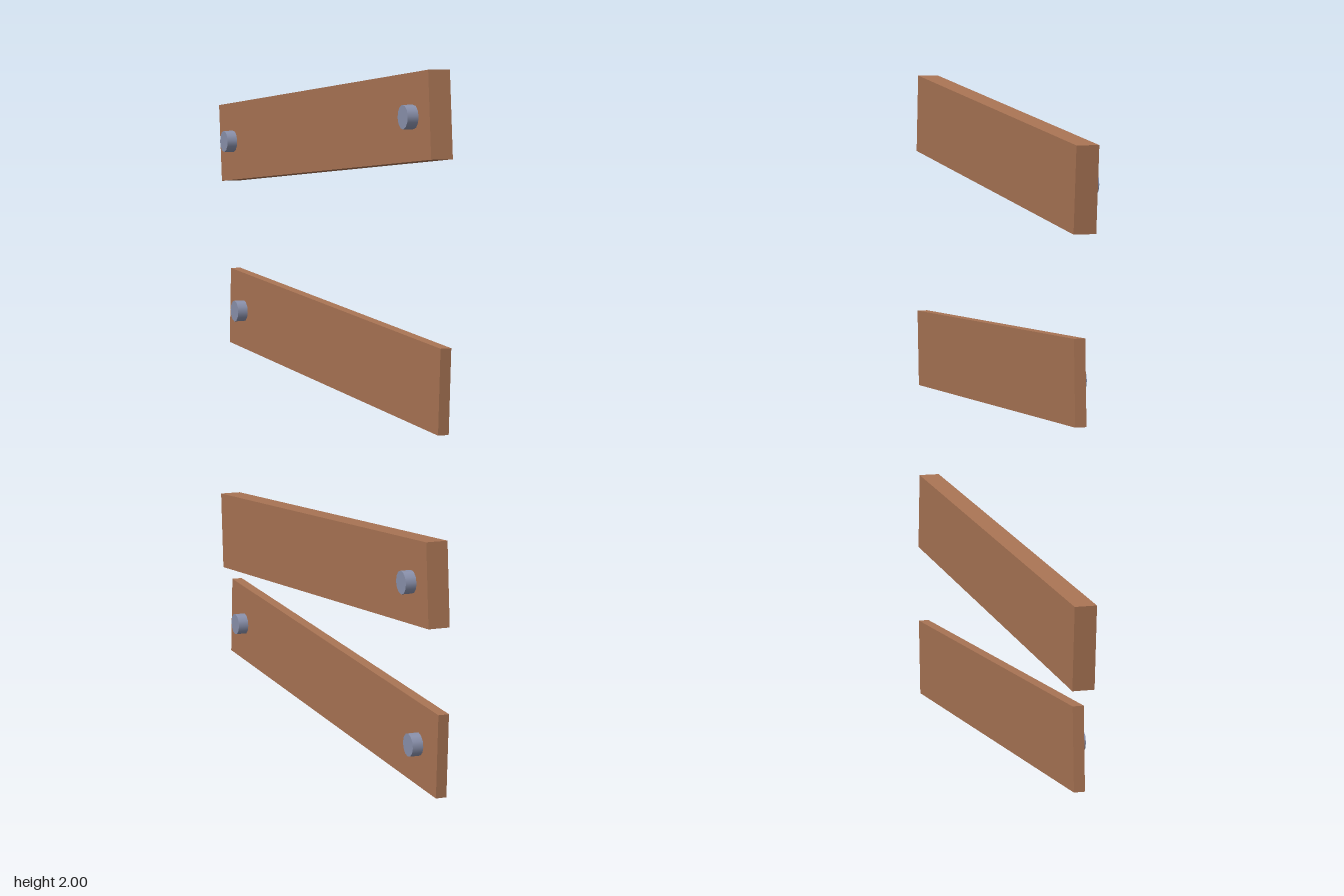
import * as THREE from 'three';

const LENGTH = 1.567, WIDTH = 0.239, OUTER = 0.048;

export function createModel() {
  const wood = new THREE.MeshStandardMaterial({ color: 0xa97454 });
  wood.name = 'brown wood';
  const steel = new THREE.MeshStandardMaterial({ color: 0x8a91ac });
  steel.name = 'blue grey steel';

  const model = new THREE.Group();
  model.name = 'plankBarricade';

  // Bolt heads point along -x
  const boltGeometry = new THREE.CylinderGeometry(0.033, 0.033, 0.032, 12).rotateZ(Math.PI / 2);

  // tilt > 0 raises the front end; bolts are positions along the plank
  const planks = [
    { name: 'topPlank', y: 1.808, tilt: 0.093, thick: 0.064, bolts: [-0.67, 0.68] },
    { name: 'upperPlank', y: 1.176, tilt: -0.054, thick: 0.032, bolts: [-0.665] },
    { name: 'lowerPlank', y: 0.546, tilt: 0.073, thick: 0.064, bolts: [0.68] },
    { name: 'bottomPlank', y: 0.165, tilt: -0.056, thick: 0.032, bolts: [-0.67, 0.66] },
  ];

  for (const { name, y, tilt, thick, bolts } of planks) {
    const group = new THREE.Group();
    group.name = name;
    group.position.set(OUTER - thick / 2, y, 0);
    group.rotation.x = -tilt;

    const board = new THREE.Mesh(new THREE.BoxGeometry(thick, WIDTH, LENGTH), wood);
    board.name = name + 'Board';
    group.add(board);

    for (const z of bolts) {
      const bolt = new THREE.Mesh(boltGeometry, steel);
      bolt.name = 'bolt';
      bolt.position.set(-thick / 2 - 0.016, 0, z);
      group.add(bolt);
    }
    model.add(group);
  }
  return model;
}
